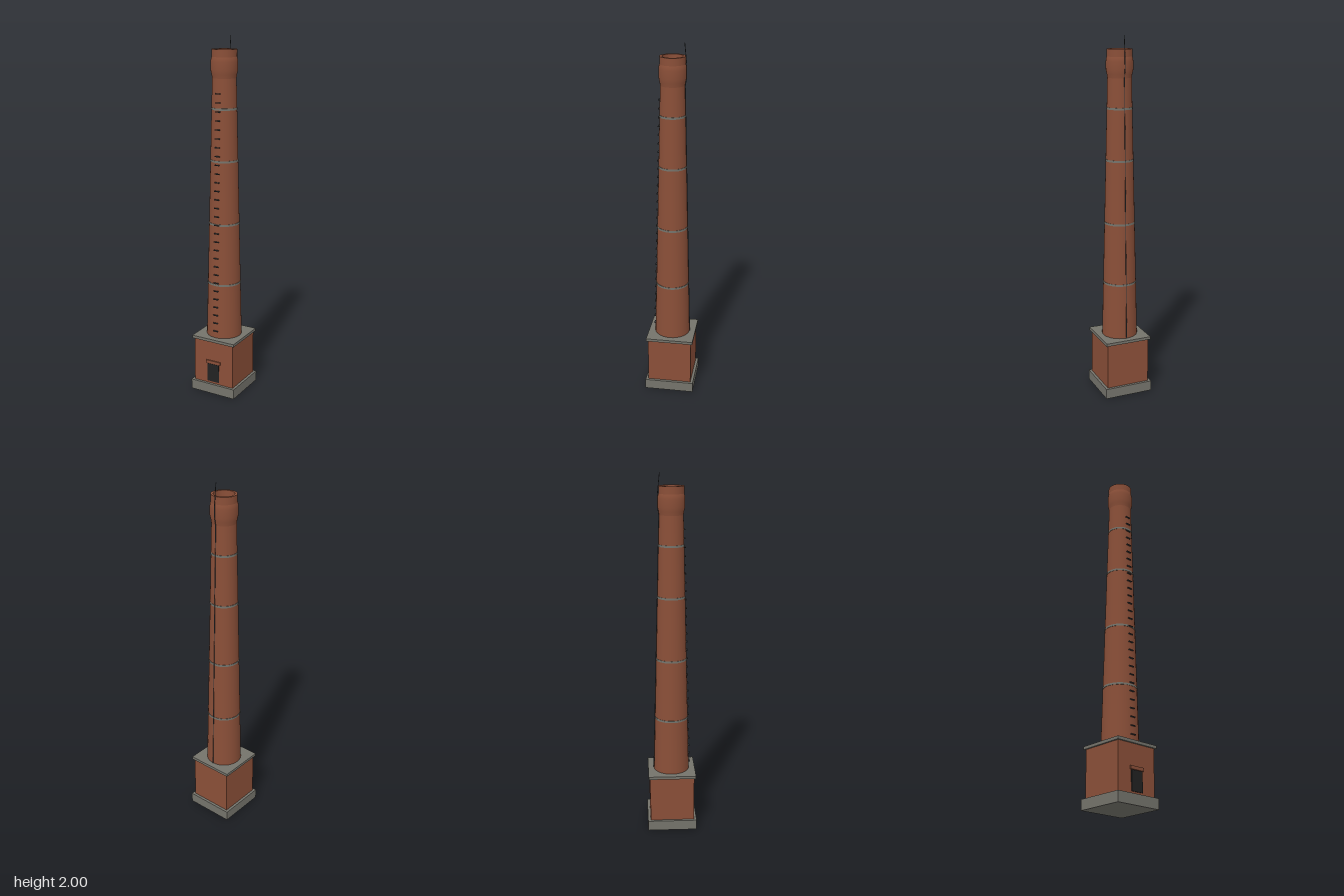
import * as THREE from 'three';

export function createModel() {
  const root = new THREE.Group();
  root.name = 'factoryChimney';

  const material = (name, color) => {
    const m = new THREE.MeshStandardMaterial({ color });
    m.name = name;
    return m;
  };
  const brick = material('brick', 0x8a4f38);
  const stone = material('stone', 0x74736b);
  const soot = material('soot', 0x222222);
  const iron = material('iron', 0x343638);

  const add = (name, geometry, mat, x = 0, y = 0, z = 0, parent = root) => {
    const mesh = new THREE.Mesh(geometry, mat);
    mesh.name = name;
    mesh.position.set(x, y, z);
    parent.add(mesh);
    return mesh;
  };
  // Box standing on a given height
  const block = (name, w, h, d, mat, y, z = 0) =>
    add(name, new THREE.BoxGeometry(w, h, d), mat, 0, y + h / 2, z);
  // Surface of revolution from [radius, height] pairs
  const lathe = (name, points, mat) =>
    add(name, new THREE.LatheGeometry(points.map(p => new THREE.Vector2(...p)), 32), mat);
  // Shaft radius at a given height
  const radiusAt = y => THREE.MathUtils.mapLinear(y, 0.33, 1.78, 0.1, 0.065);

  // Square base
  block('plinth', 0.278, 0.057, 0.278, stone, 0);
  block('baseHouse', 0.248, 0.258, 0.248, brick, 0.057);
  block('baseCap', 0.268, 0.016, 0.268, stone, 0.315);

  // Access door and lintel on the front
  block('door', 0.074, 0.108, 0.008, soot, 0.07, 0.125);
  block('doorLintel', 0.09, 0.018, 0.012, brick, 0.18, 0.125);

  // Tapering shaft and flared head
  lathe('shaft', [[0.1, 0.33], [0.065, 1.78]], brick);
  lathe('headMoulding', [
    [0.065, 1.78], [0.068, 1.8], [0.073, 1.822], [0.073, 1.865], [0.071, 1.88], [0.068, 1.89],
  ], brick);
  lathe('headCollar', [[0.068, 1.89], [0.068, 1.93]], brick);
  lathe('rim', [[0.068, 1.93], [0.055, 1.93]], brick);
  lathe('flueWall', [[0.055, 1.93], [0.055, 1.88]], brick);
  add('flueOpening', new THREE.CircleGeometry(0.055, 32).rotateX(-Math.PI / 2), soot, 0, 1.88, 0);

  // Tension bands
  for (const y of [0.645, 0.99, 1.34, 1.62]) {
    const r = radiusAt(y) + 0.002;
    add('band', new THREE.CylinderGeometry(r - 0.0002, r + 0.0002, 0.011, 32), stone, 0, y, 0);
  }

  // Climbing rungs up the front
  const ladder = new THREE.Group();
  ladder.name = 'ladder';
  root.add(ladder);
  const rung = new THREE.BoxGeometry(0.028, 0.005, 0.012);
  for (let i = 0; i < 29; i++) {
    const y = 0.372 + i * 0.0475;
    add('rung', rung, iron, 0, y, radiusAt(y) + 0.001, ladder);
  }

  // Lightning conductor up the back, rising above the rim
  const path = new THREE.CurvePath();
  const stops = [[0.33, -0.1015], [1.78, -0.0665], [1.825, -0.074], [1.89, -0.073], [2.0, -0.062]]
    .map(([y, z]) => new THREE.Vector3(0, y, z));
  for (let i = 1; i < stops.length; i++) path.add(new THREE.LineCurve3(stops[i - 1], stops[i]));
  add('lightningConductor', new THREE.TubeGeometry(path, 120, 0.002, 6), iron);

  return root;
}
